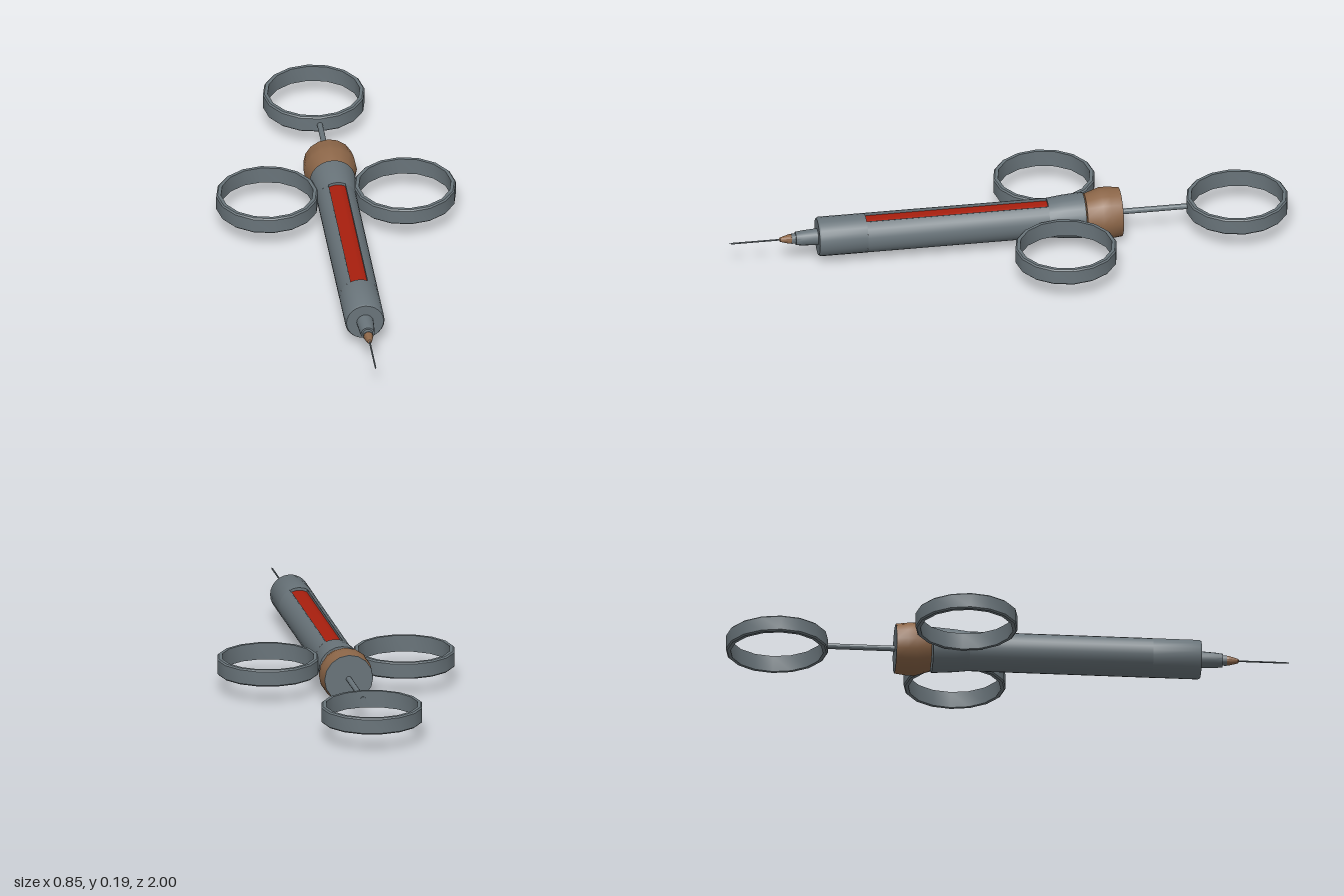
import * as THREE from 'three';
import { toCreasedNormals } from 'three/addons/utils/BufferGeometryUtils.js';

const AXIS_Y = 0.097;

export function createModel() {
  const model = new THREE.Group();
  model.name = 'syringe';

  const material = (name, color) => {
    const m = new THREE.MeshStandardMaterial({ color });
    m.name = name;
    return m;
  };
  const steel = material('steel', 0x69747a);
  const brass = material('brass', 0x8c6648);
  const fluid = material('red fluid', 0xa81f0e);

  const add = (name, geometry, mat, x = 0, y = AXIS_Y, z = 0) => {
    const mesh = new THREE.Mesh(geometry, mat);
    mesh.name = name;
    mesh.position.set(x, y, z);
    model.add(mesh);
    return mesh;
  };

  // Lathe from [radius, height] pairs with sharp edges kept
  const lathe = (profile, sides, start = 0, sweep = Math.PI * 2) => toCreasedNormals(
    new THREE.LatheGeometry(profile.map(([r, h]) => new THREE.Vector2(r, h)), sides, start, sweep), 0.6);

  // Lathe lying along z, profile running from back to front
  const turned = (name, profile, mat, sides = 24, start, sweep) =>
    add(name, lathe(profile, sides, start, sweep).rotateX(Math.PI / 2), mat);

  // Barrel: flared back, slotted middle, closed front
  const back = -0.14, front = 0.51, radius = 0.07, slotHalf = 0.03;
  turned('barrelBack', [[0, -0.27], [0.081, -0.27], [0.081, -0.26], [0.076, -0.19], [radius, back], [0, back]], steel);
  turned('barrelFront', [[0, front], [radius, front], [radius, 0.675], [0.066, 0.682], [0, 0.682]], steel);
  const gap = Math.asin(slotHalf / radius);
  turned('barrelMiddle', [[radius, back], [radius, front]], steel, 24, Math.PI + gap, 2 * (Math.PI - gap));

  // Fluid showing through the slot, and the slot's side walls
  turned('fluidWindow', [[0.06, back], [0.06, front]], fluid, 8, Math.PI - 0.54, 1.08);
  for (const side of [-1, 1]) {
    add('slotWall', new THREE.BoxGeometry(0.002, 0.014, front - back), steel,
      side * (slotHalf + 0.001), AXIS_Y + 0.0555, (front + back) / 2);
  }

  // Nozzle, tip and needle
  turned('nozzle', [[0.03, 0.68], [0.027, 0.735], [0.024, 0.76], [0, 0.76]], steel, 16);
  turned('tipCollar', [[0.018, 0.755], [0.018, 0.775], [0, 0.775]], steel, 16);
  turned('needleHub', [[0.016, 0.77], [0.017, 0.782], [0.008, 0.815], [0, 0.82]], brass, 12);
  turned('needle', [[0.003, 0.8], [0.003, 0.985], [0, 1]], steel, 8);

  // End collar with a steel back plate
  turned('endCollar', [[0.088, -0.4], [0.093, -0.36], [0.094, -0.33], [0.076, -0.275], [0, -0.27]], brass, 16);
  turned('backPlate', [[0, -0.401], [0.087, -0.401], [0.088, -0.398]], steel, 16);

  // Plunger rod
  turned('plungerRod', [[0.01, -0.66], [0.01, -0.39]], steel, 12);

  // Finger and thumb rings: flat bands with chamfered edges
  const h = 0.03, outer = 0.181, inner = 0.164, c = 0.005;
  const band = lathe([
    [inner, -h], [outer - c, -h], [outer, -h + c], [outer, h - c],
    [outer - c, h], [inner, h], [inner, -h],
  ], 16);
  add('thumbRing', band, steel, 0, AXIS_Y, -0.819);
  add('leftFingerRing', band, steel, 0.245, AXIS_Y, -0.168);
  add('rightFingerRing', band, steel, -0.245, AXIS_Y, -0.168);

  return model;
}
